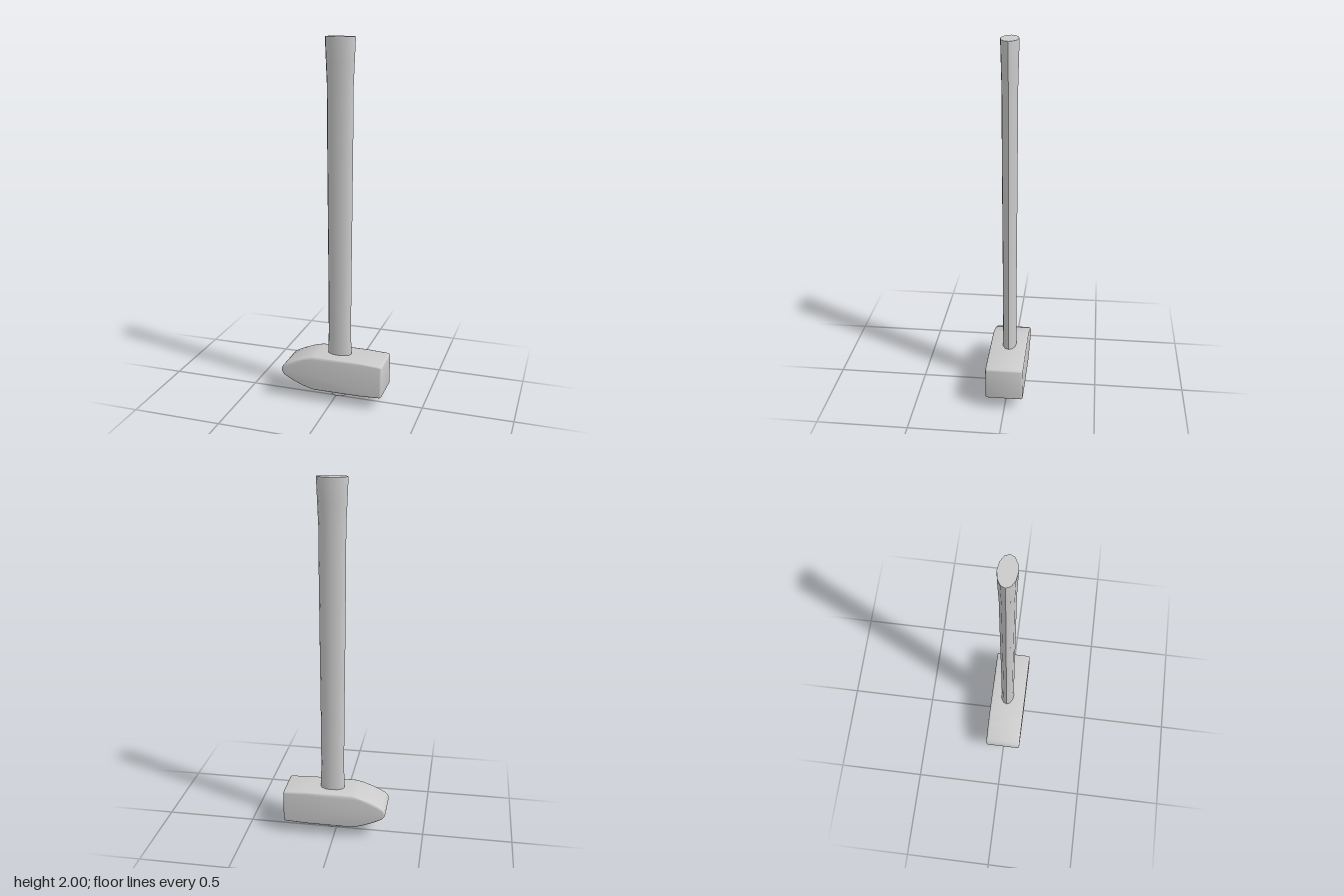
import * as THREE from 'three';
import { toCreasedNormals } from 'three/addons/utils/BufferGeometryUtils.js';

const HANDLE_X = 0.02, HANDLE_Z = -0.005;

export function createModel() {
  const model = new THREE.Group();
  model.name = 'hammer';
  const material = new THREE.MeshStandardMaterial({ color: 0xcccccc });

  const add = (name, geometry, crease = 0.6) => {
    const mesh = new THREE.Mesh(toCreasedNormals(geometry, crease), material);
    mesh.name = name;
    model.add(mesh);
    return mesh;
  };

  // Front outline extruded symmetrically along z, with rounded edges
  const slab = (shape, halfDepth, bevel, bevelSegments) => {
    const depth = 2 * (halfDepth - bevel);
    return new THREE.ExtrudeGeometry(shape, {
      depth, bevelEnabled: true, bevelSize: bevel, bevelThickness: bevel,
      bevelOffset: -bevel, bevelSegments, curveSegments: 8,
    }).translate(0, 0, -depth / 2);
  };

  // Oval bodies: a 12-sided turned profile flattened along z
  const oval = (profile, flatness) => new THREE.LatheGeometry(
    profile.map(([r, y]) => new THREE.Vector2(r, y)), 12)
    .scale(1, 1, flatness).translate(HANDLE_X, 0, HANDLE_Z);

  // Handle: gently tapered shaft, flared at the grip end and at the head
  add('handle', oval([
    [0, 0.2], [0.068, 0.2], [0.068, 0.3], [0.065, 0.38], [0.066, 0.7],
    [0.069, 1.1], [0.0715, 1.5], [0.072, 1.75], [0.077, 1.87],
    [0.082, 1.99], [0.081, 2], [0, 2],
  ], 0.58), 0.8);

  // Handle end protruding through the underside of the head
  add('handleEnd', oval([
    [0, 0.034], [0.072, 0.034], [0.08, 0.042], [0.08, 0.1], [0, 0.1],
  ], 0.57), 0.8);

  // Head: square striking face at +x, rounded peen at -x
  const head = new THREE.Shape();
  head.moveTo(-0.1, 0.065);
  head.lineTo(0.16, 0.065);
  head.lineTo(0.278, 0.071);
  head.quadraticCurveTo(0.289, 0.073, 0.289, 0.085);
  head.lineTo(0.289, 0.245);
  head.quadraticCurveTo(0.289, 0.257, 0.278, 0.259);
  head.lineTo(0.16, 0.265);
  head.lineTo(-0.1, 0.265);
  head.bezierCurveTo(-0.15, 0.258, -0.22, 0.229, -0.265, 0.204);
  head.bezierCurveTo(-0.301, 0.184, -0.301, 0.146, -0.265, 0.126);
  head.bezierCurveTo(-0.22, 0.101, -0.15, 0.072, -0.1, 0.065);
  add('head', slab(head, 0.103, 0.011, 3));

  // Thin wedge driven into the handle end
  const wedge = new THREE.Shape();
  wedge.moveTo(-0.037, 0.06);
  wedge.lineTo(-0.037, 0.02);
  wedge.quadraticCurveTo(-0.02, 0, 0.013, 0);
  wedge.quadraticCurveTo(0.046, 0, 0.063, 0.02);
  wedge.lineTo(0.063, 0.06);
  add('wedge', slab(wedge, 0.009, 0.002, 1)).position.z = HANDLE_Z + 0.005;

  return model;
}
